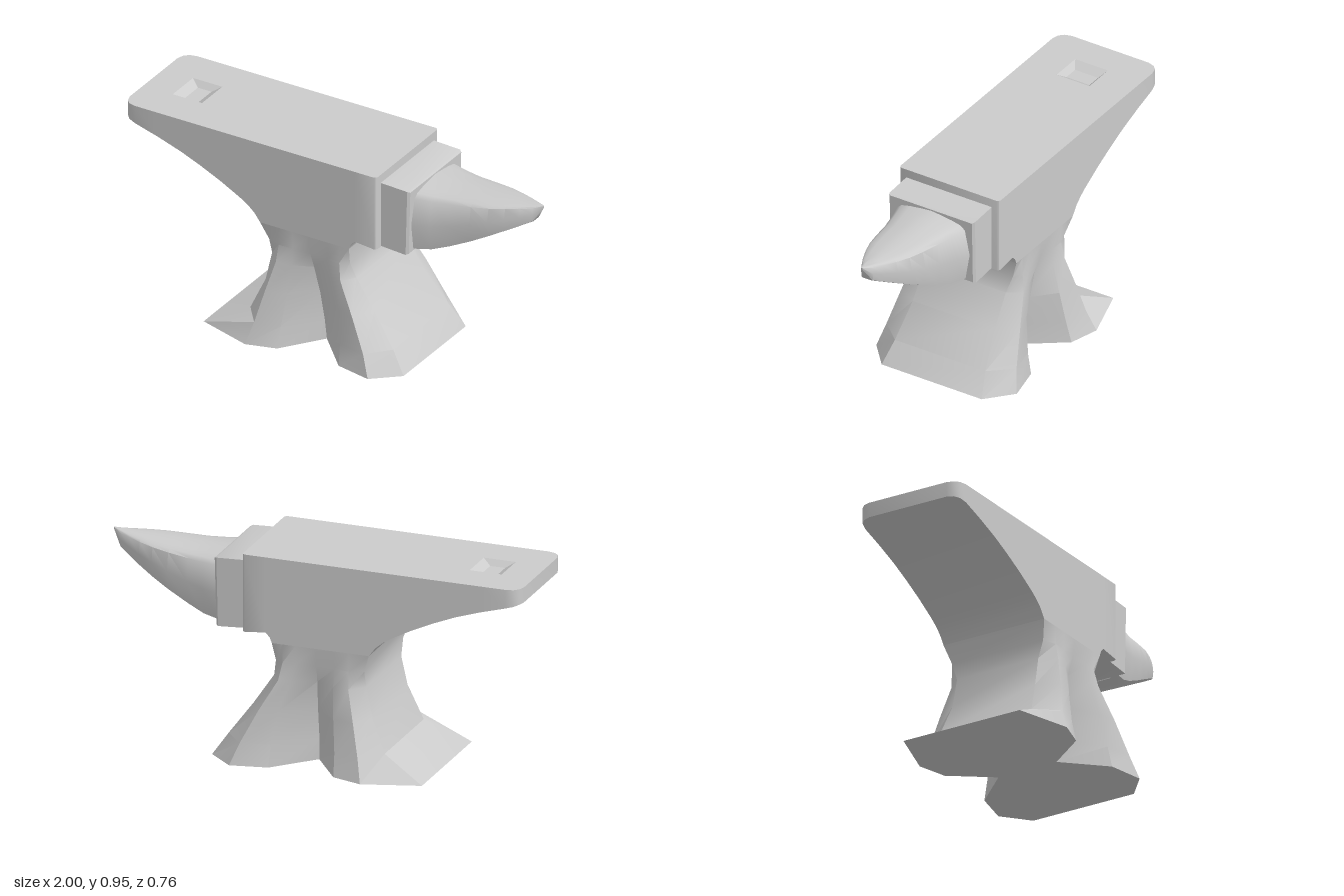
import * as THREE from 'three';
import { toCreasedNormals } from 'three/addons/utils/BufferGeometryUtils.js';

const material = new THREE.MeshStandardMaterial({ color: 0xcccccc });

// Skin a series of rings of [x, y, z] points, optionally capping the ends.
function loft(rings, { closed = true, start = false, end = false, crease = 0.6 } = {}) {
  const n = rings[0].length, pos = [];
  const tri = (...pts) => pts.forEach((p) => pos.push(...p));
  for (let i = 0; i < rings.length - 1; i++) {
    for (let j = 0; j < (closed ? n : n - 1); j++) {
      const k = (j + 1) % n;
      const a = rings[i][j], b = rings[i][k], c = rings[i + 1][k], d = rings[i + 1][j];
      tri(a, b, c);
      tri(a, c, d);
    }
  }
  const cap = (ring, flip) => {
    const mid = [0, 1, 2].map((q) => ring.reduce((s, p) => s + p[q], 0) / n);
    ring.forEach((p, j) => {
      const next = ring[(j + 1) % n];
      flip ? tri(mid, next, p) : tri(mid, p, next);
    });
  };
  if (start) cap(rings[0], true);
  if (end) cap(rings[rings.length - 1], false);
  const geo = new THREE.BufferGeometry();
  geo.setAttribute('position', new THREE.Float32BufferAttribute(pos, 3));
  return toCreasedNormals(geo, crease);
}

function add(group, name, geo) {
  const mesh = new THREE.Mesh(geo, material);
  mesh.name = name;
  group.add(mesh);
}

const TOP = 0.95;

export function createModel() {
  const group = new THREE.Group();
  group.name = 'anvil';

  // Body and heel: stations of [x, underside height, half width]
  const body = [
    [-1, 0.88, 0.2], [-0.99, 0.878, 0.232], [-0.97, 0.872, 0.252], [-0.935, 0.863, 0.26],
    [-0.82, 0.83, 0.26], [-0.7, 0.79, 0.26], [-0.6, 0.749, 0.26], [-0.5, 0.703, 0.26],
    [-0.4, 0.65, 0.26], [-0.36, 0.625, 0.26], [-0.325, 0.595, 0.26], [-0.295, 0.555, 0.26],
    [0.16, 0.555, 0.26], [0.17, 0.58, 0.26], [0.19, 0.6, 0.26],
    [0.287, 0.59, 0.26], [0.295, 0.59, 0.256], [0.3, 0.59, 0.247],
  ];
  add(group, 'body', loft(
    body.map(([x, b, w]) => [[x, TOP, w], [x, b, w], [x, b, -w], [x, TOP, -w]]),
    { closed: false, start: true, end: true }));

  // Working face with an opening for the tool hole
  const face = new THREE.Shape([
    ...body.map(([x, , w]) => new THREE.Vector2(x, w)),
    ...[...body].reverse().map(([x, , w]) => new THREE.Vector2(x, -w)),
  ]);
  const rect = (x0, x1, w) => [[x0, w], [x0, -w], [x1, -w], [x1, w]];
  const rim = rect(-0.85, -0.7, 0.085), floor = rect(-0.81, -0.74, 0.06);
  face.holes.push(new THREE.Path(rim.map((p) => new THREE.Vector2(...p))));
  add(group, 'workingFace', new THREE.ShapeGeometry(face).rotateX(-Math.PI / 2).translate(0, TOP, 0));

  // Shallow tool hole with sloping walls
  const atHeight = (pts, y) => [...pts].reverse().map(([x, z]) => [x, y, z]);
  const pit = [atHeight(floor, TOP - 0.025), atHeight(rim, TOP)].map((r) => r.reverse());
  // the ring must run against the outer skin's direction so the walls face inward
  const inward = pit[0][1][2] < pit[0][0][2] ? pit.map((r) => [...r].reverse()) : pit;
  add(group, 'toolHole', loft(inward.map((r) => orient(r)), { start: true, crease: 0.4 }));

  // Waist and four feet: half outlines [x, z] from the heel end to the horn end
  const levels = [
    [0, [[-0.56, 0.3], [-0.3, 0.38], [-0.16, 0.34], [-0.02, 0.15], [0.15, 0.33], [0.32, 0.365], [0.44, 0.26]]],
    [0.1, [[-0.36, 0.235], [-0.275, 0.343], [-0.155, 0.315], [-0.025, 0.16], [0.145, 0.31], [0.28, 0.338], [0.372, 0.235]]],
    [0.25, [[-0.295, 0.213], [-0.24, 0.31], [-0.14, 0.29], [-0.03, 0.19], [0.12, 0.285], [0.205, 0.308], [0.262, 0.213]]],
    [0.39, [[-0.264, 0.21], [-0.205, 0.276], [-0.13, 0.265], [-0.04, 0.225], [0.07, 0.265], [0.125, 0.275], [0.168, 0.21]]],
    [0.47, [[-0.264, 0.235], [-0.2, 0.26], [-0.13, 0.257], [-0.045, 0.25], [0.05, 0.257], [0.11, 0.26], [0.15, 0.235]]],
    [0.555, [[-0.295, 0.26], [-0.2, 0.26], [-0.13, 0.26], [-0.045, 0.26], [0.05, 0.26], [0.11, 0.26], [0.16, 0.26]]],
  ];
  add(group, 'waistAndFeet', loft(levels.map(([y, half]) => [
    ...half.map(([x, z]) => [x, y, z]),
    ...[...half].reverse().map(([x, z]) => [x, y, -z]),
  ]), { start: true }));

  // Step block between body and horn, leaning slightly, with softened end edges
  const step = [
    [0.28, 0.28, 0.595, 0.91, 0.222], [0.435, 0.427, 0.585, 0.903, 0.222], [0.446, 0.438, 0.59, 0.898, 0.213],
  ];
  add(group, 'stepBlock', loft(step.map(([xt, xb, b, t, w]) => [
    [xt, t, -w], [xt, t, w], [xb, b, w], [xb, b, -w],
  ]), { end: true }));

  // Horn: stations of [x, underside, ridge, half width], section as [width, height] fractions
  const horn = [
    [0.435, 0.585, 0.893, 0.2], [0.52, 0.597, 0.887, 0.176], [0.6, 0.628, 0.885, 0.155],
    [0.7, 0.677, 0.886, 0.137], [0.78, 0.72, 0.888, 0.118], [0.85, 0.757, 0.89, 0.09],
    [0.91, 0.789, 0.891, 0.061], [0.96, 0.815, 0.893, 0.032], [1, 0.885, 0.895, 0.002],
  ];
  const half = [[0.28, 0.98], [0.55, 0.955], [0.78, 0.92], [0.89, 0.86], [1, 0.46], [0.88, 0.04], [0.68, 0]];
  const section = [[0, 1], ...half, ...[...half].reverse().map(([w, h]) => [-w, h])];
  add(group, 'horn', loft(horn.map(([x, b, t, w]) =>
    section.map(([s, h]) => [x, b + (t - b) * h, s * w])), { start: true, end: true, crease: 0.7 }));

  return group;
}

// Order a level four-cornered ring so that its walls face inward
function orient(ring) {
  const area = ring.reduce((s, p, j) => {
    const q = ring[(j + 1) % ring.length];
    return s + p[0] * q[2] - q[0] * p[2];
  }, 0);
  return area > 0 ? ring : [...ring].reverse();
}
